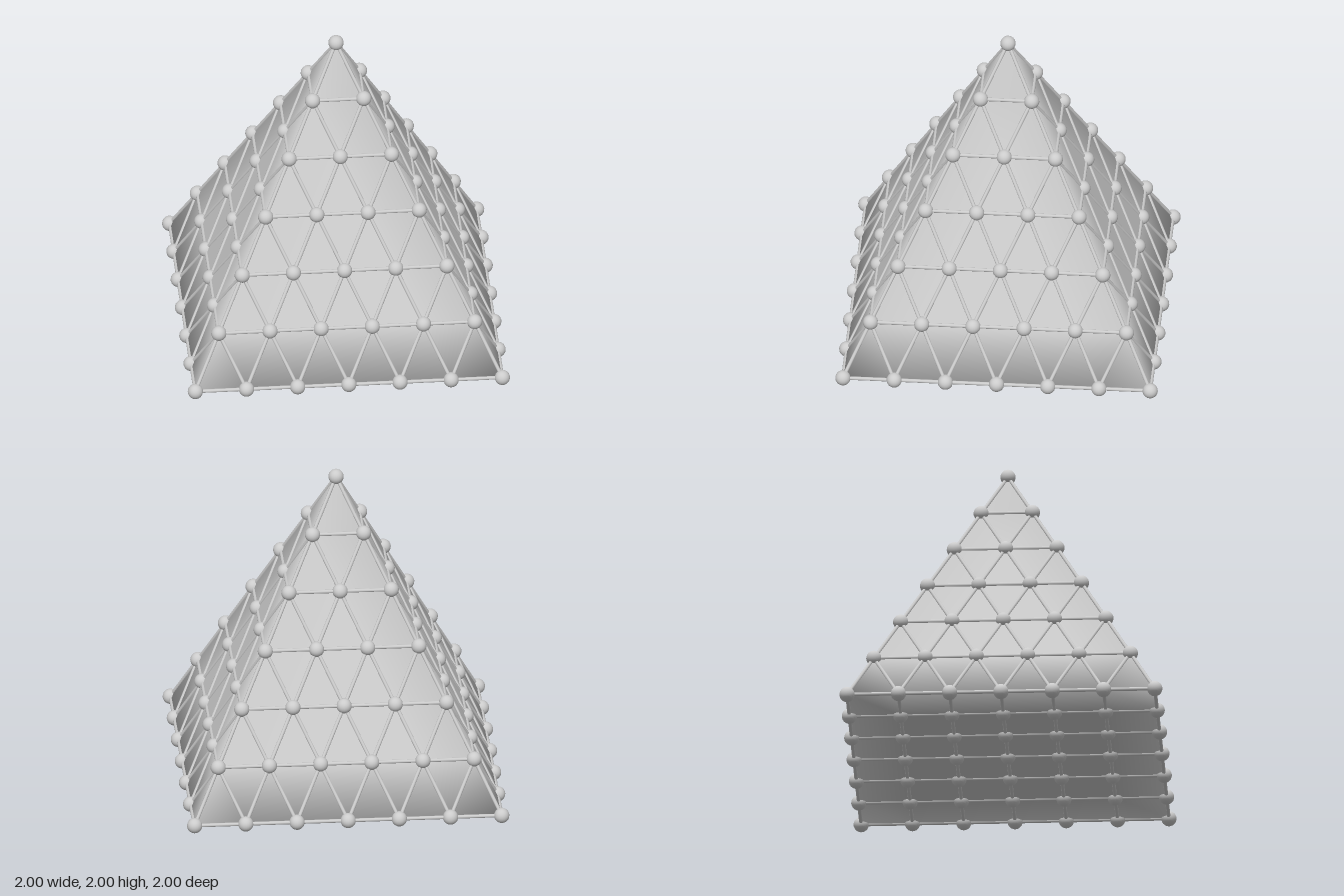
import * as THREE from 'three';
import { mergeVertices } from 'three/addons/utils/BufferGeometryUtils.js';

const N = 6;            // cells along a base edge, and number of tiers
const STEP = 0.3175;    // spacing of the nodes, also the tier height
const BALL = 0.0475;
const ROD = 0.0115;

// Node on a sloping side: tier k, index i from left to right, side s in quarter turns
function sideNode(s, k, i) {
  let x = (i - (N - k) / 2) * STEP;
  let z = ((N - k) / 2) * STEP;
  for (let t = 0; t < s; t++) [x, z] = [z, -x];
  return new THREE.Vector3(x, BALL + k * STEP, z);
}

// Node on the square base
function baseNode(i, j) {
  return new THREE.Vector3((i - N / 2) * STEP, BALL, (j - N / 2) * STEP);
}

export function createModel() {
  const model = new THREE.Group();
  const material = new THREE.MeshStandardMaterial({ color: 0xcccccc });

  // All triangles of the skin, wound to face outward
  const triangles = [];
  for (let s = 0; s < 4; s++) {
    for (let k = 0; k < N; k++) {
      for (let i = 0; i < N - k; i++) {
        const right = sideNode(s, k, i + 1), top = sideNode(s, k + 1, i);
        triangles.push([sideNode(s, k, i), right, top]);
        if (i < N - k - 1) triangles.push([right, sideNode(s, k + 1, i + 1), top]);
      }
    }
  }
  const sideCount = triangles.length;
  for (let i = 0; i < N; i++) {
    for (let j = 0; j < N; j++) {
      const a = baseNode(i, j), c = baseNode(i + 1, j + 1);
      triangles.push([a, baseNode(i + 1, j), c], [a, c, baseNode(i, j + 1)]);
    }
  }

  // Smooth skin with shared corners, so the shading rolls over the edges
  const soup = new THREE.BufferGeometry().setFromPoints(triangles.flat());
  const skinGeometry = mergeVertices(soup, 1e-3);
  skinGeometry.computeVertexNormals();
  const skin = new THREE.Mesh(skinGeometry, material);
  skin.name = 'pyramidSkin';
  model.add(skin);

  // Balls at the nodes, one per place
  const balls = new THREE.Group();
  balls.name = 'balls';
  const ballGeometry = new THREE.SphereGeometry(BALL, 20, 14);
  const key = (p) => p.toArray().map((v) => Math.round(v * 1000) + 0).join();
  const nodes = new Map(triangles.flat().map((p) => [key(p), p]));
  for (const p of nodes.values()) {
    const ball = new THREE.Mesh(ballGeometry, material);
    ball.name = 'ball';
    ball.position.copy(p);
    balls.add(ball);
  }

  // Rods between neighbouring nodes, one per edge
  const rods = new THREE.Group();
  rods.name = 'rods';
  const rodGeometry = new THREE.CylinderGeometry(ROD, ROD, 1, 10, 1, true);
  const up = new THREE.Vector3(0, 1, 0);
  const done = new Set();
  function addRod(a, b) {
    const id = [key(a), key(b)].sort().join('|');
    if (done.has(id)) return;
    done.add(id);
    const along = b.clone().sub(a);
    const rod = new THREE.Mesh(rodGeometry, material);
    rod.name = 'rod';
    rod.position.copy(a).add(b).multiplyScalar(0.5);
    rod.scale.y = along.length();
    rod.quaternion.setFromUnitVectors(up, along.normalize());
    rods.add(rod);
  }
  for (const [a, b, c] of triangles.slice(0, sideCount)) {
    addRod(a, b);
    addRod(b, c);
    addRod(c, a);
  }
  // Square grid of rods under the base
  for (let i = 0; i <= N; i++) {
    for (let j = 0; j < N; j++) {
      addRod(baseNode(i, j), baseNode(i, j + 1));
      addRod(baseNode(j, i), baseNode(j + 1, i));
    }
  }

  model.add(balls, rods);
  return model;
}
